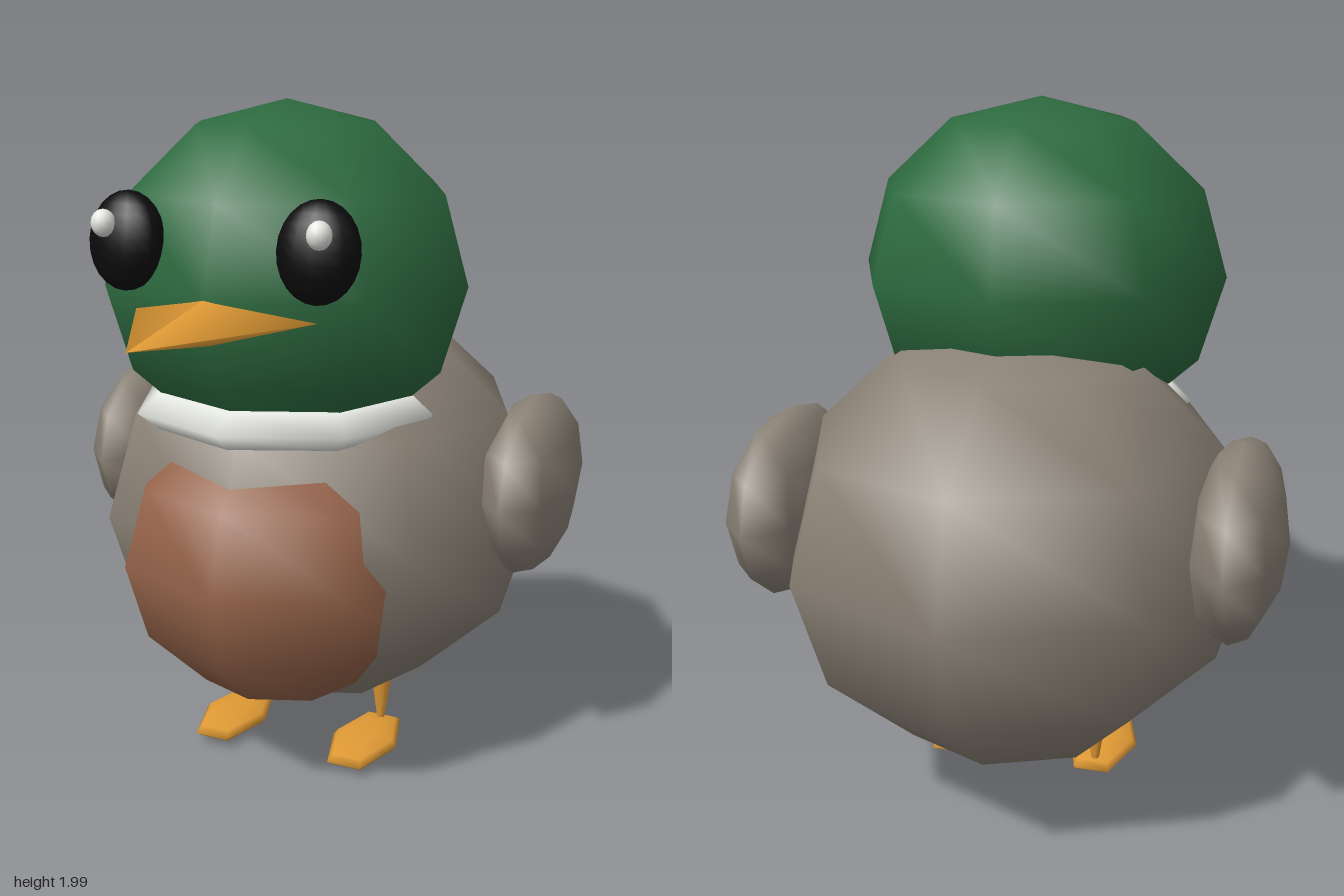
import * as THREE from 'three';

const mat = (name, color) => {
  const m = new THREE.MeshStandardMaterial({ color });
  m.name = name;
  return m;
};

export function createModel() {
  const green = mat('headGreen', 0x2d6a3f);
  const grey = mat('bodyGrey', 0x8b8276);
  const brown = mat('chestBrown', 0x96644a);
  const white = mat('collarWhite', 0xe6e8e2);
  const orange = mat('beakOrange', 0xe09a35);
  const black = mat('eyeBlack', 0x0b0b0b);

  const duck = new THREE.Group();
  duck.name = 'duck';

  const add = (name, geometry, material, position) => {
    const mesh = new THREE.Mesh(geometry, material);
    mesh.name = name;
    mesh.position.set(...position);
    duck.add(mesh);
    return mesh;
  };
  // Low-poly ellipsoid with smooth normals
  const ellipsoid = (name, material, position, radii, sides = 8, rows = 6) =>
    add(name, new THREE.SphereGeometry(1, sides, rows).scale(...radii), material, position);

  // Body, chest patch, collar and head overlap one another
  ellipsoid('body', grey, [0, 0.78, -0.23], [0.68, 0.63, 0.72]);
  ellipsoid('chest', brown, [0, 0.69, 0.1], [0.49, 0.45, 0.45]);
  ellipsoid('collar', white, [0, 1.14, 0.05], [0.45, 0.1, 0.45]);
  ellipsoid('head', green, [0, 1.51, 0.045], [0.54, 0.49, 0.52]);

  // Flat four-sided beak, its base hidden in the head
  const beak = new THREE.ConeGeometry(1, 0.545, 4);
  beak.rotateX(Math.PI / 2).scale(0.29, 0.085, 1);
  add('beak', beak, orange, [0, 1.458, 0.6725]);

  for (const [side, s] of [['left', 1], ['right', -1]]) {
    ellipsoid(side + 'Wing', grey, [s * 0.65, 0.87, -0.315], [0.135, 0.27, 0.36]);

    // Eye leaning back with the curve of the head
    const eye = ellipsoid(side + 'Eye', black, [s * 0.277, 1.643, 0.463], [0.112, 0.133, 0.072], 16, 12);
    eye.rotation.set(-0.14, s * 0.1, 0);
    ellipsoid(side + 'EyeHighlight', white, [s * 0.307, 1.695, 0.53], [0.033, 0.037, 0.033], 12, 8);

    // Leg tapering down to a flat foot
    add(side + 'Leg', new THREE.CylinderGeometry(0.035, 0.01, 0.17, 8), orange, [s * 0.228, 0.13, -0.175]);
    ellipsoid(side + 'Foot', orange, [s * 0.225, 0.04, -0.042], [0.105, 0.034, 0.205], 6, 6);
  }
  return duck;
}
